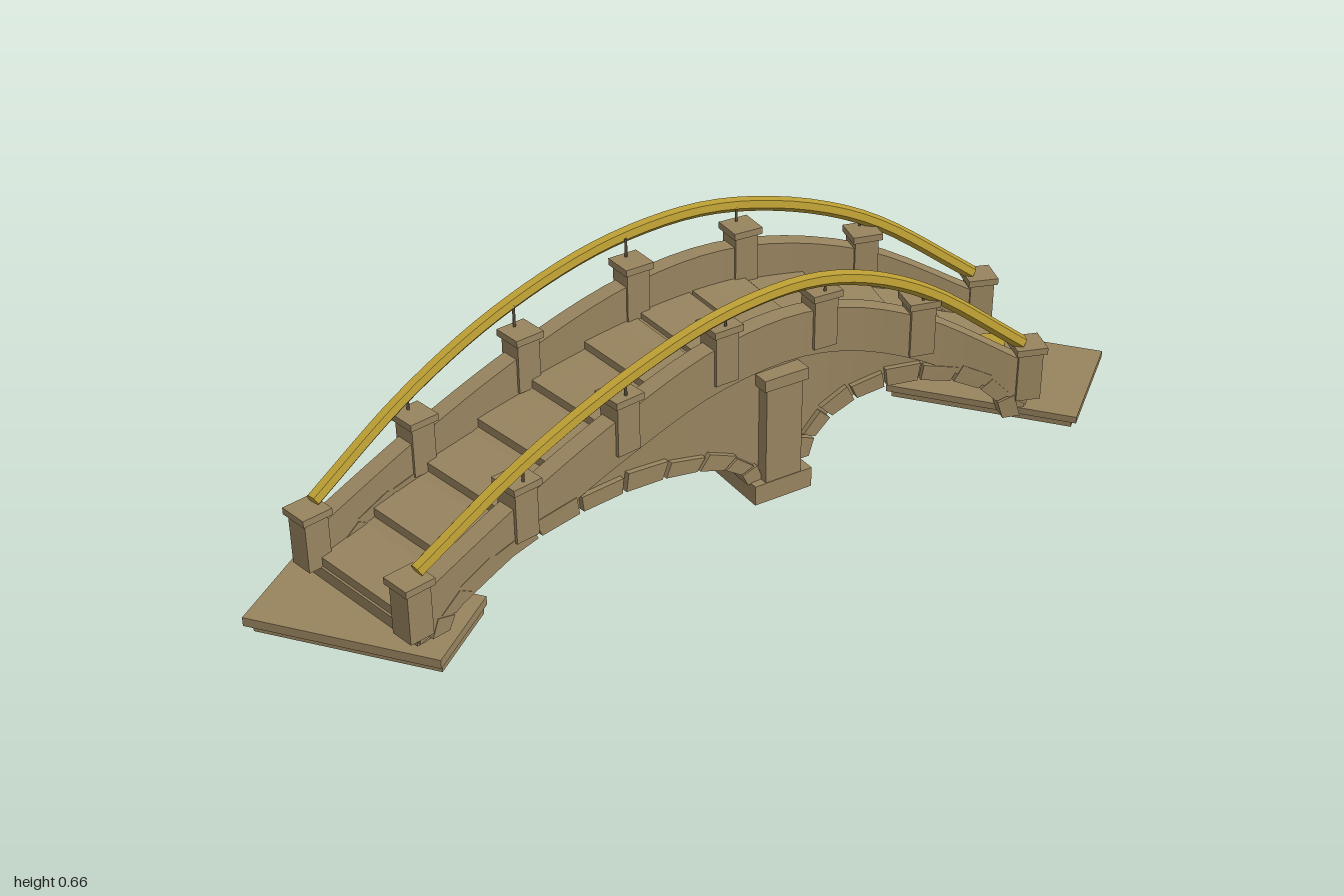
import * as THREE from 'three';

const stone = new THREE.MeshStandardMaterial({ color: 0x98845f });
stone.name = 'sandstone';
const gold = new THREE.MeshStandardMaterial({ color: 0xb89b32, flatShading: true });
gold.name = 'gold';
const iron = new THREE.MeshStandardMaterial({ color: 0x5e5340 });
iron.name = 'dark iron';

// Post positions (x, top height, z) on each side; u runs 0..6 along the bridge
const curve = (pts) => new THREE.CatmullRomCurve3(pts.map((p) => new THREE.Vector3(...p)), false, 'catmullrom', 0.5);
const leftLine = curve([[-0.82, 0.25, 0.75], [-0.66, 0.375, 0.43], [-0.49, 0.49, 0.12], [-0.29, 0.58, -0.19],
  [-0.07, 0.585, -0.48], [0.22, 0.495, -0.73], [0.52, 0.3, -0.945]]);
const rightLine = curve([[-0.45, 0.25, 0.94], [-0.3, 0.375, 0.62], [-0.13, 0.49, 0.33], [0.05, 0.58, 0.06],
  [0.245, 0.585, -0.2], [0.47, 0.495, -0.4], [0.75, 0.3, -0.575]]);
const railHeight = curve([0.25, 0.425, 0.555, 0.635, 0.63, 0.525, 0.29].map((y, i) => [i, y, 0]));

const clampT = (u) => Math.min(1, Math.max(0, u / 6));
function frame(u) {
  const l = leftLine.getPoint(clampT(u)), r = rightLine.getPoint(clampT(u));
  const mid = l.clone().add(r).multiplyScalar(0.5);
  const dir = r.clone().sub(l).setY(0).normalize();
  return { mid, dir, yaw: Math.atan2(-dir.z, dir.x) };
}
// Point at u along the bridge, o sideways from its centre line (right is positive), height y
function at(u, o, y) {
  const { mid, dir } = frame(u);
  return mid.addScaledVector(dir, o).setY(y);
}
const topOf = (u) => leftLine.getPoint(clampT(u)).y;
const deckY = (u) => topOf(u) - 0.155;

// Solid lofted through sections [uLow, yLow, uHigh, yHigh], between side offsets o0 and o1
function loft(sections, o0, o1) {
  const rings = sections.map(([ua, ya, ub, yb]) => [at(ua, o0, ya), at(ua, o1, ya), at(ub, o1, yb), at(ub, o0, yb)]);
  const v = [];
  const quad = (a, b, c, d) => [a, b, c, a, c, d].forEach((p) => v.push(p.x, p.y, p.z));
  quad(...rings[0]);
  quad(...rings[rings.length - 1].slice().reverse());
  for (let i = 0; i + 1 < rings.length; i++) {
    for (let k = 0; k < 4; k++) {
      const n = (k + 1) % 4;
      quad(rings[i][k], rings[i + 1][k], rings[i + 1][n], rings[i][n]);
    }
  }
  const g = new THREE.BufferGeometry();
  g.setAttribute('position', new THREE.Float32BufferAttribute(v, 3));
  g.computeVertexNormals();
  return g;
}
// Sections at even steps of u, with lower and upper heights given by functions
function span(u0, u1, n, low, high) {
  return Array.from({ length: n + 1 }, (_, i) => {
    const u = u0 + ((u1 - u0) * i) / n;
    return [u, low(u), u, high(u)];
  });
}

const arches = [
  { name: 'longArch', mid: 1.75, half: 1.5, base: 0.055, rise: 0.15, stones: 11 },
  { name: 'shortArch', mid: 4.83, half: 0.97, base: 0.075, rise: 0.175, stones: 9 },
];
// Point on an arch at angle a, pushed outward by ring thickness t
function archPoint(arch, a, t) {
  return [arch.mid - Math.cos(a) * (arch.half + t / 0.345), arch.base + Math.sin(a) * (arch.rise + t)];
}

export function createModel() {
  const model = new THREE.Group();
  const add = (name, geo, mat, parent = model) => {
    const m = new THREE.Mesh(geo, mat);
    m.name = name;
    parent.add(m);
    return m;
  };
  const group = (name) => {
    const g = new THREE.Group();
    g.name = name;
    model.add(g);
    return g;
  };
  // Box turned to line up with the bridge: w across, d along
  const block = (name, u, o, y0, y1, w, d, parent) => {
    const m = add(name, new THREE.BoxGeometry(w, y1 - y0, d), stone, parent);
    m.position.copy(at(u, o, (y0 + y1) / 2));
    m.rotation.y = frame(u).yaw;
  };

  // Bridge body with both barrel vaults cut from its underside
  const under = (u) => deckY(u) - 0.012;
  const body = [[0, 0.045, 0, under(0)]];
  for (const arch of arches) {
    for (let i = 0; i <= 18; i++) {
      const [u, y] = archPoint(arch, (Math.PI * i) / 18, 0);
      body.push([u, Math.min(y, under(u) - 0.004), u, under(u)]);
    }
  }
  body.push([6, 0.09, 6, under(6)]);
  add('bridgeBody', loft(body, -0.222, 0.222), stone);

  // Arch stones on both faces
  for (const arch of arches) {
    const ring = group(arch.name + 'Stones');
    for (const s of [-1, 1]) {
      for (let i = 0; i < arch.stones; i++) {
        const thick = i % 2 ? 0.042 : 0.05;
        const sections = [i + 0.05, i + 0.95].map((k) => {
          const a = (Math.PI * k) / arch.stones;
          return [...archPoint(arch, a, -0.004), ...archPoint(arch, a, thick)];
        });
        add('archStone', loft(sections, s < 0 ? -0.238 : 0.18, s < 0 ? -0.18 : 0.238), stone, ring);
      }
    }
  }

  // Stepped deck slabs
  const deck = group('deck');
  for (let i = 0; i < 12; i++) {
    const u = i / 2, mid = deckY(u + 0.25);
    const top = (w) => mid + 0.5 * (deckY(w) - mid);
    add('deckSlab', loft(span(u + 0.015, u + 0.485, 3, (w) => top(w) - 0.03, top), -0.185, 0.185), stone, deck);
  }

  // Parapets, posts, handrails and their pins
  for (const s of [-1, 1]) {
    const side = group(s < 0 ? 'leftSideRailing' : 'rightSideRailing');
    const low = (u) => topOf(u) - 0.19, high = (u) => topOf(u) - 0.055;
    add('parapet', loft(span(0, 6, 30, low, high), s < 0 ? -0.236 : 0.182, s < 0 ? -0.182 : 0.236), stone, side);
    const railAt = (u) => at(u, s * (0.212 + 0.045 * Math.sin((Math.PI * u) / 6)), railHeight.getPoint(clampT(u)).y);
    for (let i = 0; i <= 6; i++) {
      const y = topOf(i);
      block('post', i, s * 0.21, y - 0.168, y - 0.018, 0.072, 0.072, side);
      block('postCap', i, s * 0.21, y - 0.02, y, 0.09, 0.09, side);
      if (i === 0 || i === 6) continue;
      const railY = railAt(i).y;
      const pin = add('railPin', new THREE.CylinderGeometry(0.004, 0.004, railY - y, 6), iron, side);
      pin.position.copy(at(i, s * 0.235, (railY + y) / 2));
    }
    const path = new THREE.CatmullRomCurve3(Array.from({ length: 25 }, (_, i) => railAt(0.06 + (i * 5.88) / 24)));
    add('handrail', new THREE.TubeGeometry(path, 40, 0.021, 6), gold, side);
    // End discs close the rail
    for (const t of [0, 1]) {
      const cap = add('railEnd', new THREE.CircleGeometry(0.021, 6), gold, side);
      cap.position.copy(path.getPoint(t));
      cap.lookAt(cap.position.clone().addScaledVector(path.getTangent(t), t ? 1 : -1));
    }
  }

  // Central pier: footing, pilaster on the right face, plaque on the left face
  const pier = group('pier');
  block('pierFooting', 3.55, 0.012, 0, 0.06, 0.51, 0.185, pier);
  block('pilaster', 3.55, 0.235, 0.055, 0.36, 0.06, 0.115, pier);
  block('pilasterCap', 3.55, 0.237, 0.355, 0.39, 0.075, 0.14, pier);
  block('plaque', 3.4, -0.223, 0.31, 0.335, 0.008, 0.12, pier);

  // Landing slabs at each end, two layers each
  const slab = (name, x0, x1, z0, z1, y0, y1) => {
    const m = add(name, new THREE.BoxGeometry(x1 - x0, y1 - y0, z1 - z0), stone);
    m.position.set((x0 + x1) / 2, (y0 + y1) / 2, (z0 + z1) / 2);
  };
  slab('frontLanding', -0.905, -0.36, 0.7, 0.98, 0.022, 0.048);
  slab('frontLandingBase', -0.885, -0.365, 0.71, 0.965, 0, 0.022);
  slab('backLanding', 0.35, 0.905, -0.955, -0.56, 0.076, 0.096);
  slab('backLandingBase', 0.365, 0.89, -0.945, -0.57, 0.056, 0.076);

  // Gold disc at the far end of the deck
  const disc = add('goldDisc', new THREE.CylinderGeometry(0.048, 0.048, 0.016, 16), gold);
  disc.position.set(0.605, 0.18, -0.745);

  return model;
}
